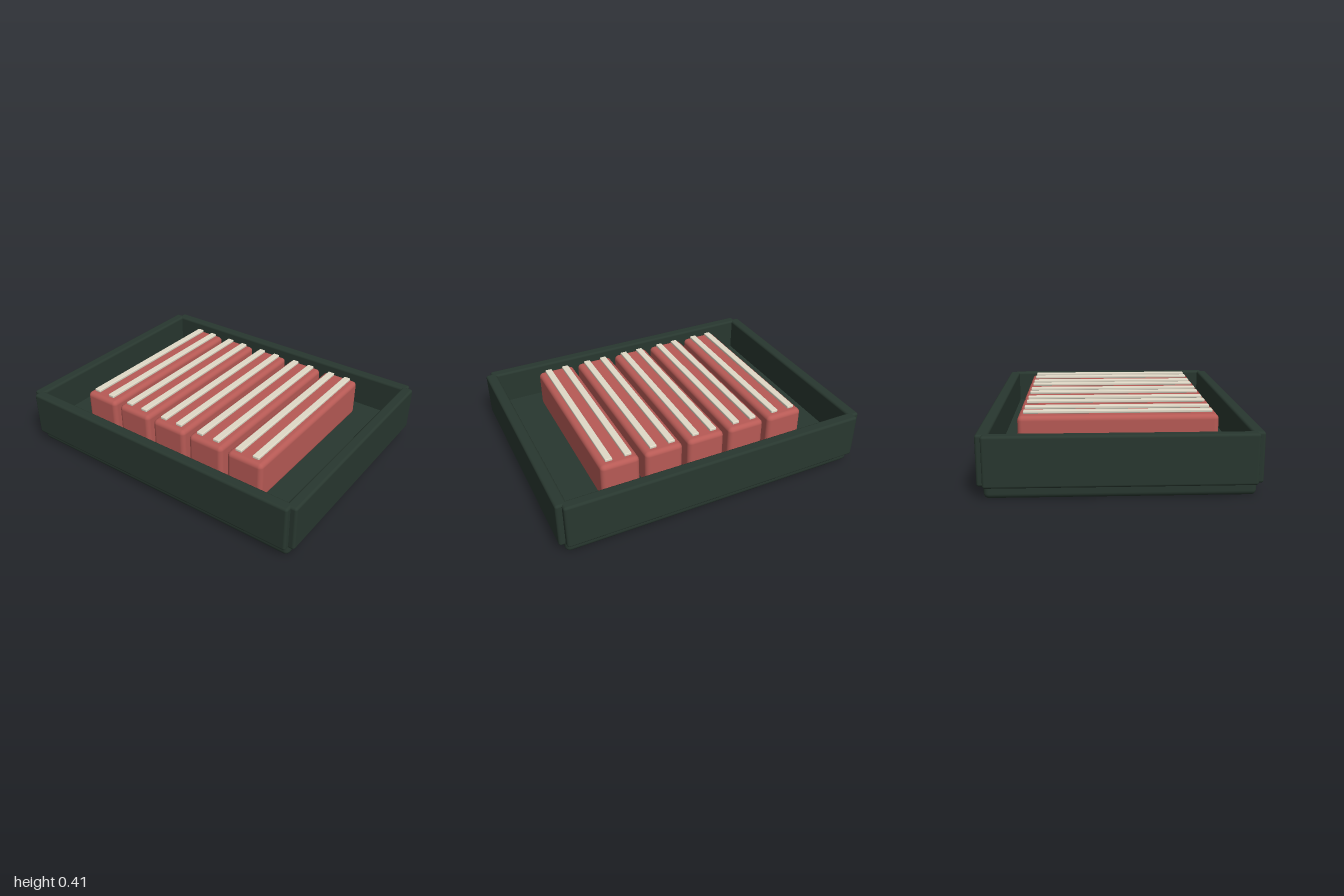
import * as THREE from 'three';
import { RoundedBoxGeometry } from 'three/addons/geometries/RoundedBoxGeometry.js';

const material = (name, color) => {
  const m = new THREE.MeshStandardMaterial({ color });
  m.name = name;
  return m;
};

// Rounded box given by its lowest and highest corners
function block(name, min, max, radius, mat) {
  const size = max.map((v, i) => v - min[i]);
  const mesh = new THREE.Mesh(new RoundedBoxGeometry(...size, 3, radius), mat);
  mesh.position.set(...max.map((v, i) => (v + min[i]) / 2));
  mesh.name = name;
  return mesh;
}

export function createModel() {
  const green = material('dark green', 0x28372f);
  const red = material('brick red', 0xb75a55);
  const cream = material('cream', 0xe0d9c7);
  const model = new THREE.Group();
  model.name = 'trayWithBars';

  const floor = 0.14, bottom = 0.07, rim = 0.358;

  // Tray floor, showing below the walls as a plinth
  model.add(block('trayBase', [-0.963, 0, -0.74], [0.963, floor, 0.74], 0.03, green));

  // Four walls, stepped at the corners
  model.add(
    block('frontWall', [-0.963, bottom, 0.705], [0.963, rim, 0.775], 0.015, green),
    block('backWall', [-0.963, bottom, -0.775], [0.963, rim, -0.705], 0.015, green),
    block('leftWall', [0.93, bottom, -0.74], [1, rim, 0.74], 0.015, green),
    block('rightWall', [-1, bottom, -0.74], [-0.93, rim, 0.74], 0.015, green)
  );

  // Five bars, each with two thin strips just above its top
  for (let i = -2; i <= 2; i++) {
    const bar = new THREE.Group();
    bar.name = 'bar';
    bar.position.x = i * 0.277;
    bar.add(block('barBody', [-0.12, floor, -0.577], [0.12, 0.385, 0.577], 0.028, red));
    for (const x of [-0.059, 0.059]) {
      bar.add(block('barStrip', [x - 0.022, 0.391, -0.545], [x + 0.022, 0.409, 0.545], 0.005, cream));
    }
    model.add(bar);
  }
  return model;
}
